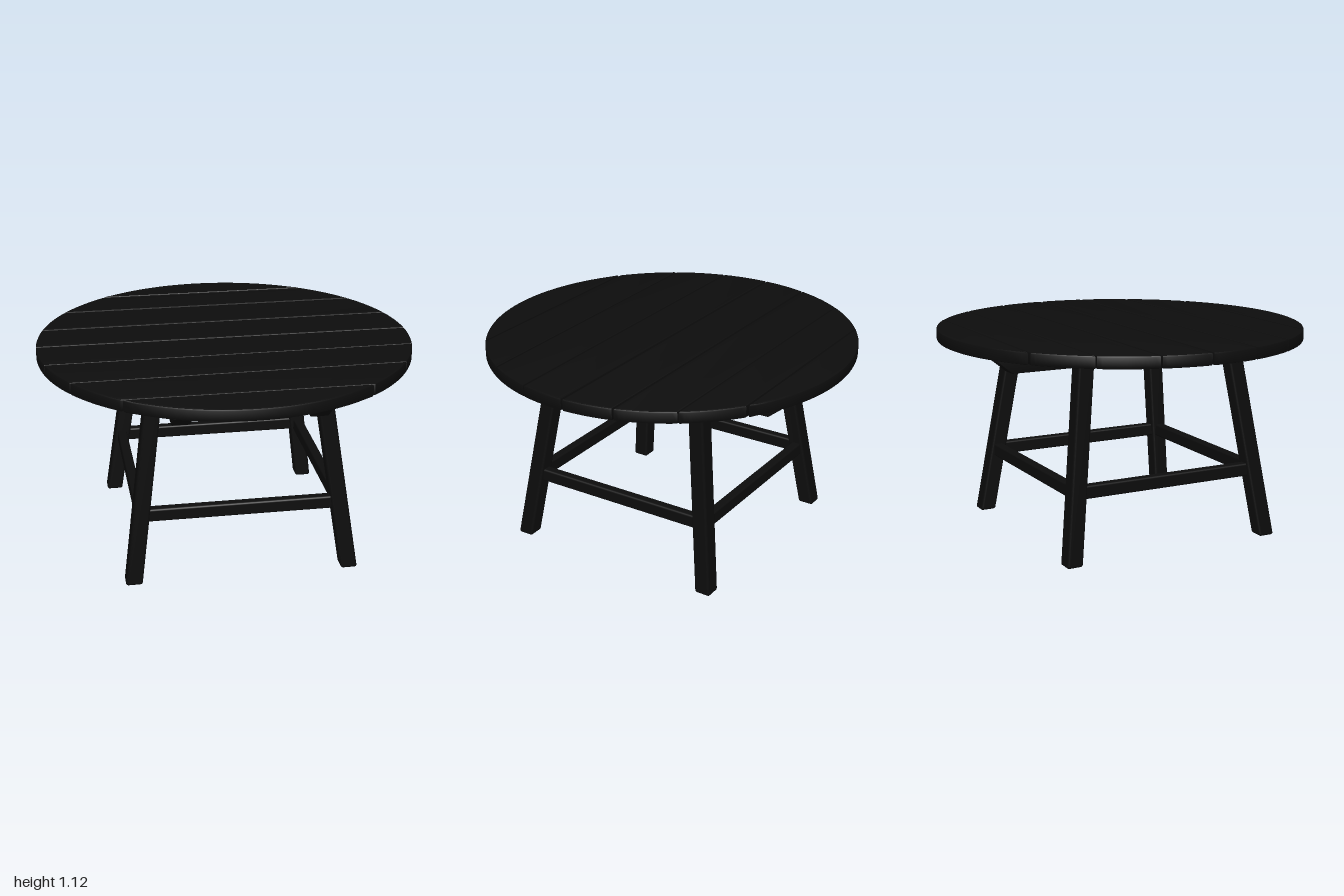
import * as THREE from 'three';
import { toCreasedNormals } from 'three/addons/utils/BufferGeometryUtils.js';
import { RoundedBoxGeometry } from 'three/addons/geometries/RoundedBoxGeometry.js';

const RZ = 0.985;            // table top half depth (half width is 1)
const TOP = 1.115, UNDER = 1.05;
const FOOT = 0.575, HIP = 0.43; // leg centre offsets at floor and under the top

export function createModel() {
  const table = new THREE.Group();
  table.name = 'roundTable';
  const wood = new THREE.MeshStandardMaterial({ color: 0x0d0d0d });

  const add = (name, geometry, x = 0, y = 0, z = 0) => {
    const mesh = new THREE.Mesh(geometry, wood);
    mesh.name = name;
    mesh.position.set(x, y, z);
    table.add(mesh);
    return mesh;
  };
  const bar = (name, w, h, d, x, y, z, r = 0.01) =>
    add(name, new RoundedBoxGeometry(w, h, d, 2, r), x, y, z);

  // Table top: planks cut from an ellipse along slightly skewed seams [z, slope, gap]
  const seams = [
    [-0.797, 0, 0.008], [-0.558, 0, 0.005], [-0.28, 0, 0.008], [-0.016, 0.004, 0.009],
    [0.245, -0.004, 0.006], [0.507, -0.01, 0.007], [0.772, 0, 0.008],
  ];
  // angle at which a seam meets the rim on the given side (+1 or -1)
  const rimAngle = (c, slope, side) => {
    let a = 0;
    for (let i = 0; i < 12; i++) a = Math.asin((c + slope * side * Math.cos(a)) / RZ);
    return a;
  };
  const bevel = 0.009, steps = 12;
  for (let i = 0; i <= seams.length; i++) {
    const lo = seams[i - 1], hi = seams[i];
    const points = [];
    for (const side of [1, -1]) {
      const a0 = lo ? rimAngle(lo[0] + lo[2] / 2, lo[1], side) : -Math.PI / 2;
      const a1 = hi ? rimAngle(hi[0] - hi[2] / 2, hi[1], side) : Math.PI / 2;
      for (let k = 0; k <= steps; k++) {
        const t = side > 0 ? k / steps : 1 - k / steps;
        const a = a0 + (a1 - a0) * t;
        const p = new THREE.Vector2(side * Math.cos(a), -RZ * Math.sin(a));
        if (!points.some((q) => q.distanceTo(p) < 1e-4)) points.push(p);
      }
    }
    const plank = new THREE.ExtrudeGeometry(new THREE.Shape(points), {
      depth: TOP - UNDER - 2 * bevel, bevelEnabled: true, bevelThickness: bevel,
      bevelSize: bevel, bevelOffset: -bevel, bevelSegments: 2,
    });
    plank.rotateX(-Math.PI / 2);
    add('topPlank', toCreasedNormals(plank, 0.5), 0, UNDER + bevel, 0);
  }

  // Battens under the planks, with slanted ends
  const b = 0.006;
  const battenShape = new THREE.Shape([
    [-0.8, 0.975], [0.8, 0.975], [0.88, 1.04], [0.88, UNDER + 0.003],
    [-0.88, UNDER + 0.003], [-0.88, 1.04],
  ].map(([z, y]) => new THREE.Vector2(z, y)));
  for (const s of [1, -1]) {
    const batten = new THREE.ExtrudeGeometry(battenShape, {
      depth: 0.096 - 2 * b, bevelEnabled: true, bevelThickness: b,
      bevelSize: b, bevelOffset: -b, bevelSegments: 2,
    });
    batten.translate(0, 0, -0.048 + b).rotateY(-Math.PI / 2);
    add('batten', toCreasedNormals(batten, 0.5), s * 0.342, 0, 0);
    // Cross rails joining the battens
    bar('crossRail', 0.62, 0.07, 0.06, 0, 1.016, s * 0.43);
  }

  // Splayed legs: boxes sheared so that feet and tops stay level
  for (const sx of [1, -1]) for (const sz of [1, -1]) {
    const leg = new RoundedBoxGeometry(0.088, UNDER, 0.088, 3, 0.013);
    leg.translate(0, UNDER / 2, 0);
    const p = leg.attributes.position;
    for (let i = 0; i < p.count; i++) {
      const off = FOOT + (HIP - FOOT) * p.getY(i) / UNDER;
      p.setX(i, p.getX(i) + sx * off);
      p.setZ(i, p.getZ(i) + sz * off);
    }
    add('leg', leg);
  }

  // Stretchers between neighbouring legs
  const y = 0.365, reach = FOOT + (HIP - FOOT) * y / UNDER;
  for (const s of [1, -1]) {
    bar('longStretcher', 2 * reach - 0.03, 0.07, 0.052, 0, y, s * reach);
    bar('sideStretcher', 0.052, 0.07, 2 * reach - 0.03, s * reach, y, 0);
  }
  return table;
}
